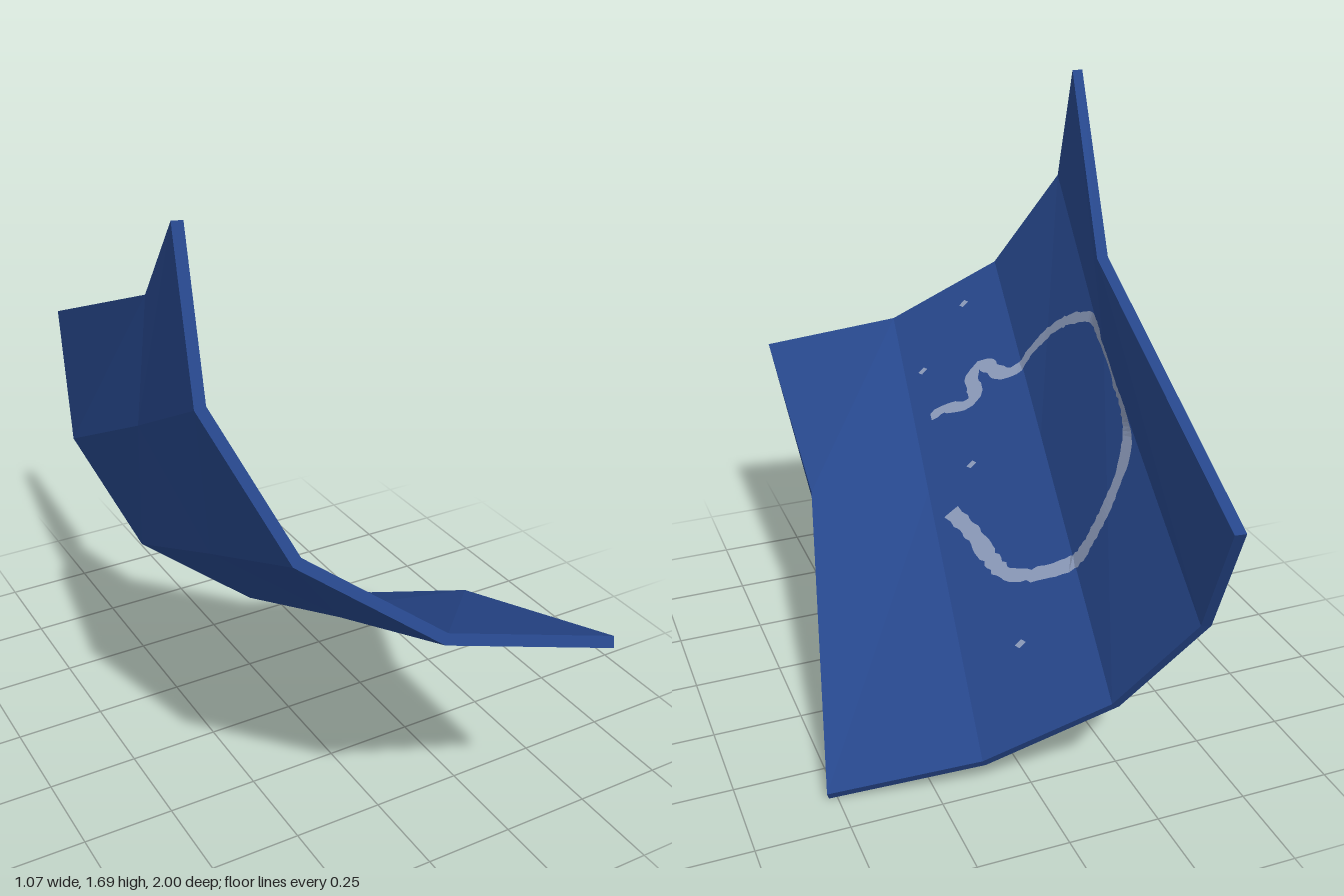
import * as THREE from 'three';

const V = (x, y, z) => new THREE.Vector3(x, y, z);

export function createModel() {
  const model = new THREE.Group();
  const blue = new THREE.MeshStandardMaterial({ name: 'navy blue', color: 0x26468a, flatShading: true });
  const pale = new THREE.MeshStandardMaterial({ name: 'pale grey blue', color: 0x8c9bbb, side: THREE.DoubleSide });

  // Inner cross-sections: one end, the pinched middle, and the other end
  const sweep = V(0.22, -0.715, -1.375);
  const near = [V(-0.465, 1.68, 0.38), V(-0.51, 1.33, 0.56), V(-0.38, 1.015, 0.74), V(-0.085, 0.81, 0.885), V(0.31, 0.735, 0.99)];
  const middle = [V(-0.31, 1.31, -0.14), V(-0.39, 1.01, -0.04), V(-0.28, 0.695, 0.12), V(0.015, 0.495, 0.265), V(0.345, 0.505, 0.37)];
  const far = near.map((p) => p.clone().add(sweep));
  const inner = [near, middle, far];

  // Outer skin, offset away from the hollow side
  const thickness = 0.028;
  const outer = inner.map((row) => row.map((p, i) => {
    const tangent = row[Math.min(i + 1, 4)].clone().sub(row[Math.max(i - 1, 0)]);
    return p.clone().addScaledVector(tangent.cross(sweep).normalize(), -thickness);
  }));

  const makeGeometry = (triangles) => {
    const geometry = new THREE.BufferGeometry().setFromPoints(triangles.flat());
    geometry.computeVertexNormals();
    return geometry;
  };
  const addMesh = (name, triangles, material) => {
    const mesh = new THREE.Mesh(makeGeometry(triangles), material);
    mesh.name = name;
    model.add(mesh);
  };
  const quad = (a, b, c, d) => [[a, b, c], [a, c, d]];

  // Curved panel skins
  const innerFaces = [], outerFaces = [];
  for (let r = 0; r < 2; r++) {
    for (let i = 0; i < 4; i++) {
      innerFaces.push(...quad(inner[r][i], inner[r][i + 1], inner[r + 1][i + 1], inner[r + 1][i]));
      outerFaces.push(...quad(outer[r][i], outer[r + 1][i], outer[r + 1][i + 1], outer[r][i + 1]));
    }
  }
  addMesh('innerPanel', innerFaces, blue);
  addMesh('outerPanel', outerFaces, blue);

  // Rim joining the two skins
  const loop = [];
  for (let i = 0; i < 5; i++) loop.push([0, i]);
  loop.push([1, 4]);
  for (let i = 4; i >= 0; i--) loop.push([2, i]);
  loop.push([1, 0]);
  const rim = loop.flatMap(([r, i], k) => {
    const [s, j] = loop[(k + 1) % loop.length];
    return quad(inner[r][i], outer[r][i], outer[s][j], inner[s][j]);
  });
  addMesh('panelRim', rim, blue);

  // Drops a (z, y) point onto the hollow side of the panel
  const project = (z, y) => {
    const bary = V();
    for (const [a, b, c] of innerFaces) {
      const flat = [a, b, c].map((p) => V(p.z, p.y, 0));
      if (!THREE.Triangle.getBarycoord(V(z, y, 0), ...flat, bary)) continue;
      if (Math.min(bary.x, bary.y, bary.z) < -1e-4) continue;
      return V(a.x * bary.x + b.x * bary.y + c.x * bary.z + 0.006, y + 0.002, z);
    }
    return null;
  };

  // Painted outline with a slightly rough edge
  let seed = 7;
  const random = () => (seed = (seed * 16807) % 2147483647) / 2147483647;
  const path = [
    [0.46, 0.64], [0.445, 0.67], [0.4, 0.69], [0.395, 0.72], [0.46, 0.755], [0.465, 0.79], [0.37, 0.79],
    [0.33, 0.87], [0.27, 0.95], [0.2, 1.005], [0.13, 1.04], [0.06, 1.06], [-0.02, 1.035], [-0.1, 1.005],
    [-0.16, 0.96], [-0.25, 0.91], [-0.31, 0.82], [-0.32, 0.7], [-0.305, 0.6], [-0.28, 0.52],
    [-0.22, 0.455], [-0.14, 0.42], [-0.05, 0.435], [0.04, 0.46], [0.15, 0.48],
  ];
  const curve = new THREE.SplineCurve(path.map(([z, y]) => new THREE.Vector2(z, y)));
  const steps = 160, ribbon = [];
  let previous = null;
  for (let k = 0; k <= steps; k++) {
    const p = curve.getPointAt(k / steps), t = curve.getTangentAt(k / steps);
    const half = (p.x < -0.2 ? 0.02 : 0.015) + (random() - 0.5) * 0.006;
    const pair = [project(p.x - t.y * half, p.y + t.x * half), project(p.x + t.y * half, p.y - t.x * half)];
    if (previous && pair[0] && pair[1]) ribbon.push(...quad(previous[0], previous[1], pair[1], pair[0]));
    previous = pair[0] && pair[1] ? pair : null;
  }
  addMesh('paintedOutline', ribbon, pale);

  // Small stray paint flecks
  const flecks = [];
  for (const [z, y] of [[0.7, 0.9], [0.62, 0.725], [0.22, 0.585], [-0.325, 0.315]]) {
    const h = 0.008;
    const corners = [project(z - h, y - h), project(z + h, y - h), project(z + h, y + h), project(z - h, y + h)];
    if (corners.every(Boolean)) flecks.push(...quad(...corners));
  }
  addMesh('paintFlecks', flecks, pale);

  return model;
}
